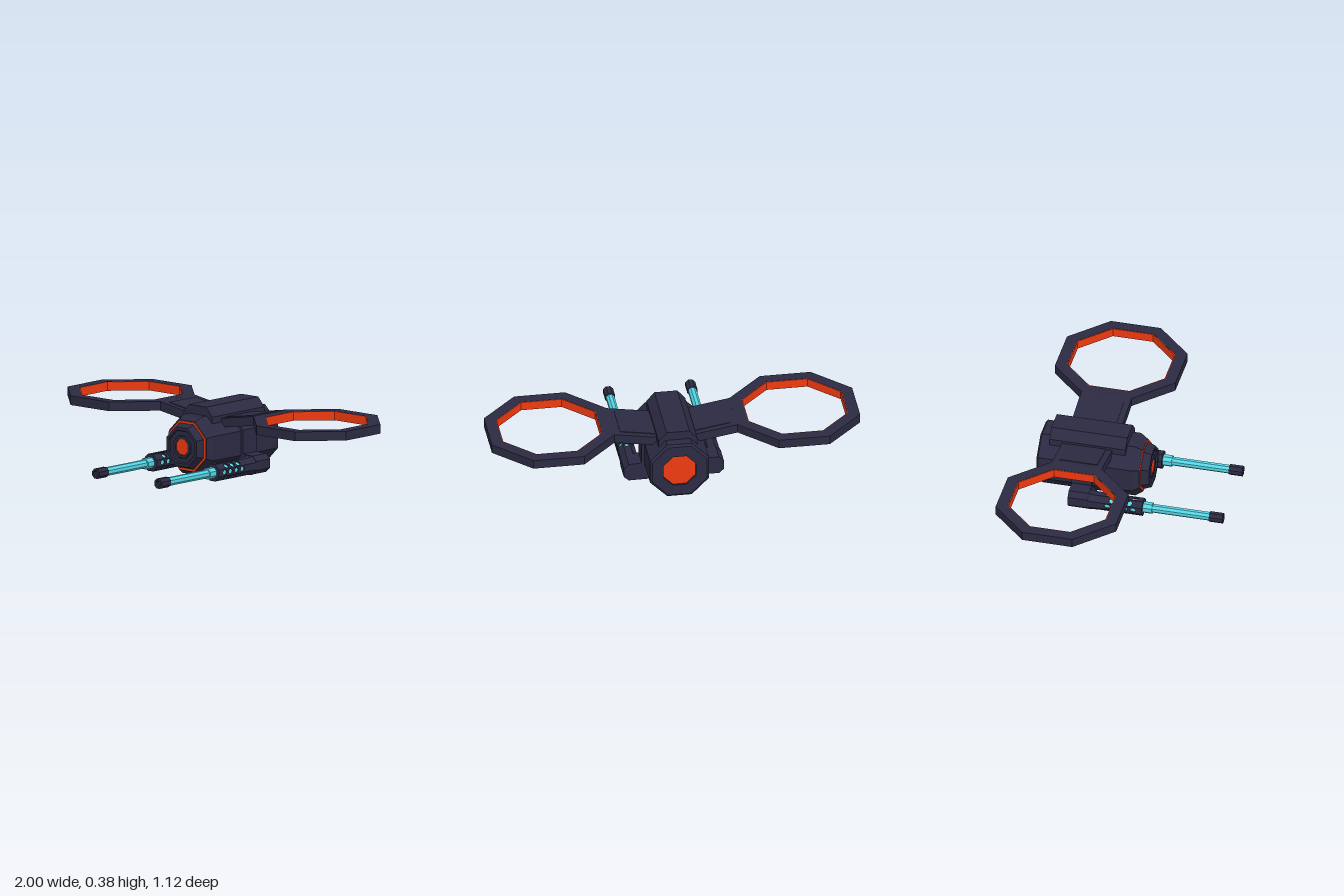
import * as THREE from 'three';

const mat = (color) => new THREE.MeshStandardMaterial({ color, flatShading: true });
const dark = mat(0x2b2a42), red = mat(0xf03a10), cyan = mat(0x55d5e5);
const OCT = Math.cos(Math.PI / 8);

function add(parent, name, geometry, material) {
  const mesh = new THREE.Mesh(geometry, material);
  mesh.name = name;
  parent.add(mesh);
  return mesh;
}

// Octagonal solid along z from [apothem, z] pairs, listed back to front
function octLathe(profile) {
  const pts = profile.map(([r, z]) => new THREE.Vector2(r / OCT, z));
  return new THREE.LatheGeometry(pts, 8, Math.PI / 8).rotateX(Math.PI / 2);
}
const octBar = (r, z0, z1, r1 = r) => octLathe([[0, z0], [r, z0], [r1, z1], [0, z1]]);

function octPoints(apothem) {
  return Array.from({ length: 8 }, (_, i) => {
    const a = (i + 0.5) * Math.PI / 4;
    return new THREE.Vector2(Math.cos(a), Math.sin(a)).multiplyScalar(apothem / OCT);
  });
}

// Flat octagonal frame lying in the xz plane between heights y0 and y1
function octFrame(outer, inner, y0, y1) {
  const shape = new THREE.Shape(octPoints(outer));
  shape.holes.push(new THREE.Path(octPoints(inner)));
  return new THREE.ExtrudeGeometry(shape, { depth: y1 - y0, bevelEnabled: false })
    .rotateX(Math.PI / 2).translate(0, y1, 0);
}

// xy cross-section extruded from z0 to z1, x multiplied by side
function section(points, z0, z1, side = 1) {
  const shape = new THREE.Shape(points.map(([x, y]) => new THREE.Vector2(x * side, y)));
  return new THREE.ExtrudeGeometry(shape, { depth: z1 - z0, bevelEnabled: false }).translate(0, 0, z0);
}

function buildBody() {
  const body = new THREE.Group();
  body.name = 'body';
  body.position.y = 0.18;
  add(body, 'hull', octLathe([[0, -0.475], [0.088, -0.475], [0.088, -0.49], [0.148, -0.49],
    [0.16, -0.48], [0.16, 0.035], [0.136, 0.073], [0, 0.073]]), dark);
  add(body, 'belt', octBar(0.175, -0.29, -0.18), dark);
  add(body, 'noseBand', octBar(0.133, 0.06, 0.077), red);
  add(body, 'nose', octLathe([[0.124, 0.07], [0.106, 0.12], [0.09, 0.12], [0.085, 0.112], [0.062, 0.112],
    [0.058, 0.118], [0.043, 0.118], [0.043, 0.11], [0, 0.11]]), dark);
  add(body, 'noseLight', octBar(0.042, 0.1, 0.114), red);
  add(body, 'rearLight', octBar(0.087, -0.48, -0.46), red);
  return body;
}

function buildWing(side) {
  const wing = new THREE.Group();
  wing.name = side > 0 ? 'leftWing' : 'rightWing';
  add(wing, 'wingArm', section([[0.08, 0.268], [0.335, 0.31], [0.39, 0.31], [0.39, 0.36],
    [0.335, 0.36], [0.08, 0.318]], -0.361, -0.085, side), dark);
  const panel = add(wing, 'wingPanel', new THREE.BoxGeometry(0.2, 0.01, 0.21), dark);
  panel.position.set(0.2 * side, 0.336, -0.223);
  panel.rotation.z = 0.163 * side;
  const frame = add(wing, 'rotorFrame', octFrame(0.333, 0.271, 0.31, 0.36), dark);
  const liner = add(wing, 'rotorLiner', octFrame(0.272, 0.267, 0.311, 0.359), red);
  for (const m of [frame, liner]) m.position.set(0.667 * side, 0, -0.223);
  return wing;
}

// Eight plates around the barrel, with alternating rows of four and three vents
function buildShroud() {
  const shroud = new THREE.Group();
  shroud.name = 'shroud';
  const half = 0.046 * Math.tan(Math.PI / 8);
  for (let i = 0; i < 8; i++) {
    const shape = new THREE.Shape([[-half, -0.11], [half, -0.11], [half, 0.12], [-half, 0.12]]
      .map(([x, y]) => new THREE.Vector2(x, y)));
    for (const v of i % 2 ? [0.046, -0.001, -0.048] : [0.07, 0.023, -0.025, -0.072]) {
      const vent = new THREE.Path();
      vent.absellipse(0, v, 0.0135, 0.0165, 0, Math.PI * 2, true);
      shape.holes.push(vent);
    }
    const plate = new THREE.ExtrudeGeometry(shape, { depth: 0.008, bevelEnabled: false, curveSegments: 6 })
      .translate(0, 0, 0.038).rotateX(Math.PI / 2).scale(-1, -1, 1).rotateZ(i * Math.PI / 4);
    add(shroud, 'shroudPlate', plate, dark);
  }
  // Front lip closing the gap between plates and barrel
  add(shroud, 'shroudLip', octLathe([[0.028, 0.112], [0.043, 0.112], [0.043, 0.12], [0.028, 0.12]]), dark);
  return shroud;
}

function buildGun(side) {
  const gun = new THREE.Group();
  gun.name = side > 0 ? 'leftGun' : 'rightGun';
  const barrel = new THREE.Group();
  barrel.name = 'barrelAssembly';
  barrel.position.set(0.223 * side, 0.068, 0);
  add(barrel, 'innerCore', octBar(0.034, -0.12, 0.11), cyan);
  add(barrel, 'collar', octBar(0.029, 0.1, 0.17), cyan);
  add(barrel, 'barrel', octBar(0.022, 0.16, 0.49), cyan);
  add(barrel, 'muzzle', octLathe([[0, 0.485], [0.027, 0.485], [0.027, 0.56], [0.016, 0.56],
    [0.016, 0.54], [0, 0.54]]), dark);
  add(barrel, 'breech', octLathe([[0, -0.2], [0.05, -0.18], [0.046, -0.13], [0.046, -0.1], [0, -0.1]]), dark);
  barrel.add(buildShroud());
  gun.add(barrel);
  // Mount joining the gun to the hull belt
  add(gun, 'gunMount', section([[0.08, 0.022], [0.245, 0.02], [0.272, 0.044], [0.272, 0.094],
    [0.245, 0.12], [0.1, 0.125]], -0.289, -0.179, side), dark);
  return gun;
}

export function createModel() {
  const model = new THREE.Group();
  model.name = 'drone';
  model.add(buildBody());
  // Raised spine along the top
  add(model, 'spine', section([[-0.105, 0.27], [0.105, 0.27], [0.105, 0.338], [0.062, 0.388],
    [-0.062, 0.388], [-0.105, 0.338]], -0.43, -0.01), dark);
  for (const side of [1, -1]) model.add(buildWing(side), buildGun(side));
  return model;
}
